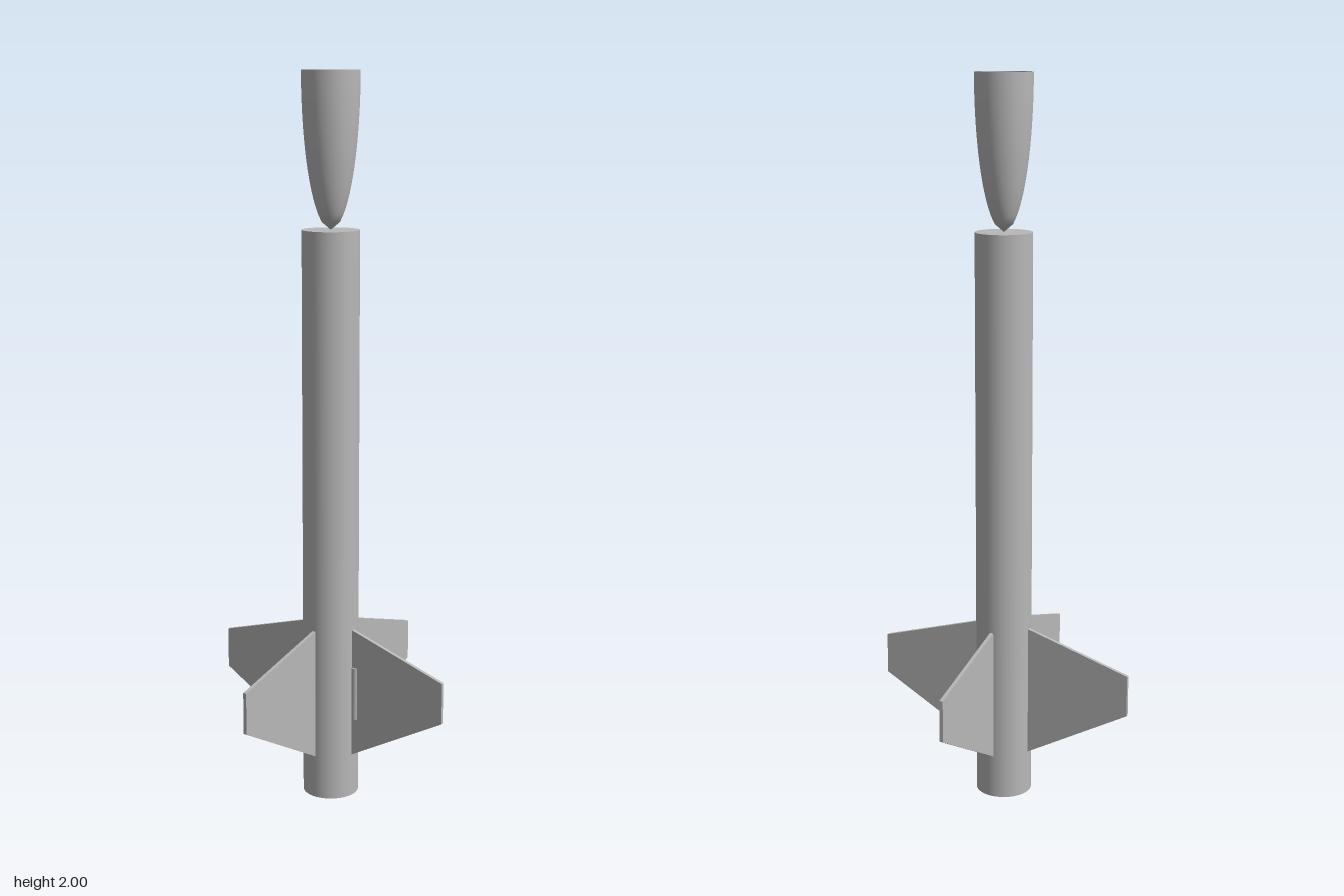
import * as THREE from 'three';

export function createModel() {
  const model = new THREE.Group();
  model.name = 'modelRocket';

  const grey = new THREE.MeshStandardMaterial({ color: 0xb8b8b8, side: THREE.DoubleSide });
  grey.name = 'plain grey';

  const R = 0.0775;       // body radius
  const BODY_TOP = 1.587; // nose tip rests here

  const add = (name, geometry) => {
    const mesh = new THREE.Mesh(geometry, grey);
    mesh.name = name;
    model.add(mesh);
    return mesh;
  };

  // Closed body tube
  add('bodyTube', new THREE.CylinderGeometry(R, R, BODY_TOP, 64)).position.y = BODY_TOP / 2;

  // Hollow, open-topped elliptical nose, standing on its tip
  const profile = [];
  const steps = 20;
  for (let i = 0; i <= steps; i++) {
    const t = i / steps;
    profile.push(new THREE.Vector2(R * Math.sqrt(1 - (1 - t) ** 2), BODY_TOP + t * (2 - BODY_TOP)));
  }
  add('noseCone', new THREE.LatheGeometry(profile, 64));

  // Four swept trapezoid fins
  const thickness = 0.01;
  const finShape = new THREE.Shape([
    new THREE.Vector2(R - 0.003, 0.12),
    new THREE.Vector2(0.375, 0.285),
    new THREE.Vector2(0.375, 0.4),
    new THREE.Vector2(R - 0.003, 0.49),
  ]);
  const finGeometry = new THREE.ExtrudeGeometry(finShape, { depth: thickness, bevelEnabled: false });
  finGeometry.translate(0, 0, -thickness / 2);
  for (let i = 0; i < 4; i++) {
    add('fin' + (i + 1), finGeometry).rotation.y = (i * Math.PI) / 2;
  }

  // Small launch lug straddling the left fin root
  add('launchLug', new THREE.CylinderGeometry(0.011, 0.011, 0.15, 20)).position.set(0.0855, 0.305, 0);

  return model;
}
